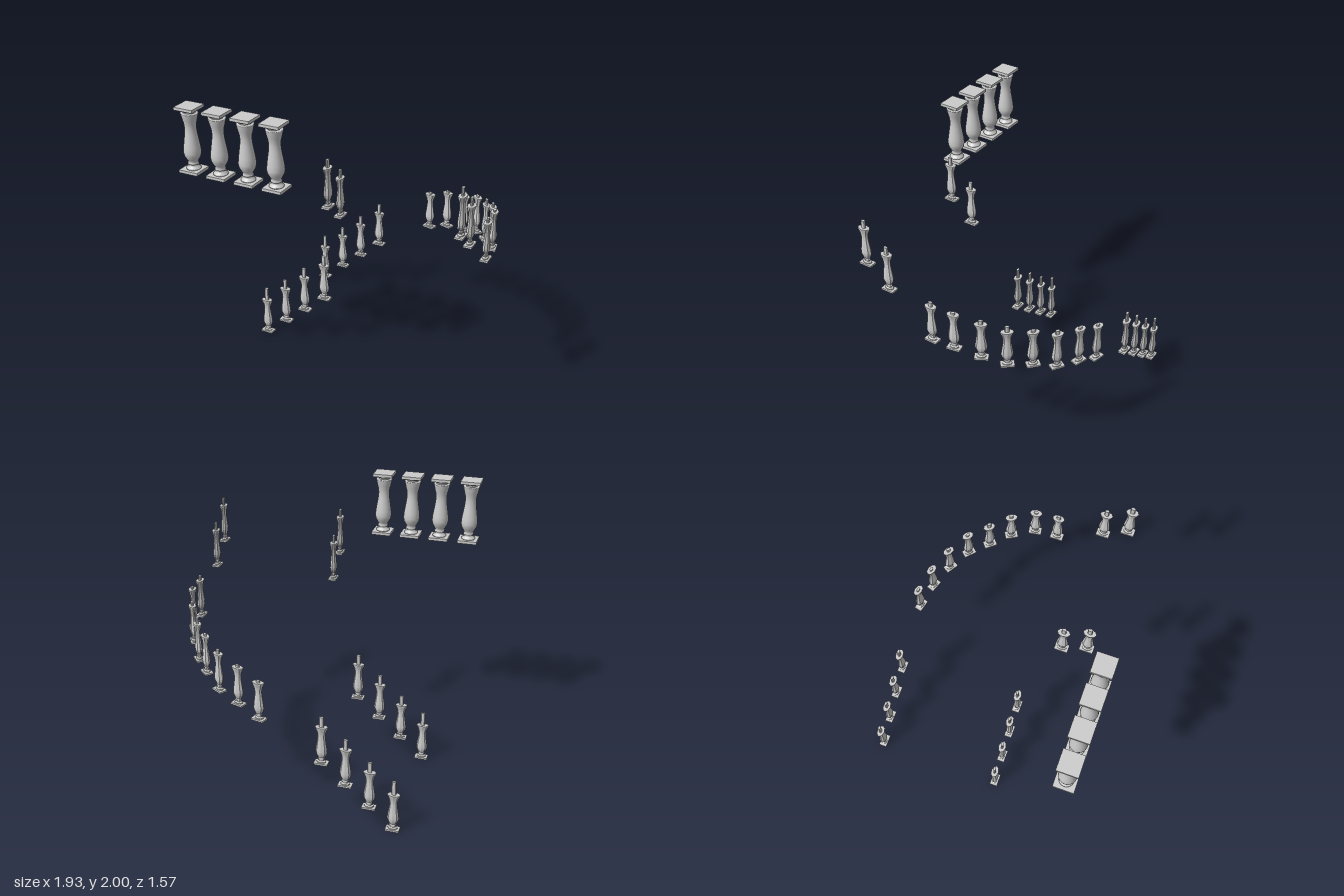
import * as THREE from 'three';

const smooth = new THREE.MeshStandardMaterial({ color: 0xcccccc });
const flat = new THREE.MeshStandardMaterial({ color: 0xcccccc, flatShading: true });

// Turned profile [radius, height] of a baluster, from foot to flared cap
const PROFILE = [
  [0, 0.012], [0.033, 0.012], [0.033, 0.02], [0.019, 0.026], [0.019, 0.034],
  [0.025, 0.037], [0.025, 0.044], [0.021, 0.049], [0.028, 0.06], [0.037, 0.077],
  [0.04, 0.094], [0.038, 0.118], [0.033, 0.15], [0.028, 0.183], [0.026, 0.208],
  [0.028, 0.23], [0.033, 0.248],
];
const SMALL_CAP = [[0.036, 0.254], [0.045, 0.274], [0.045, 0.28], [0, 0.28]];
const LARGE_CAP = [[0.034, 0.254], [0.039, 0.274], [0.039, 0.28], [0, 0.28]];

const lathe = (pts, sides) =>
  new THREE.LatheGeometry(pts.map(([r, y]) => new THREE.Vector2(r, y)), sides);

function add(group, name, geometry, material, y = 0) {
  const mesh = new THREE.Mesh(geometry, material);
  mesh.name = name;
  mesh.position.y = y;
  group.add(mesh);
}

const smallBody = lathe([...PROFILE, ...SMALL_CAP], 8).scale(1, 1, 0.62);
const smallPlate = new THREE.BoxGeometry(0.094, 0.013, 0.057);
const largeBody = lathe([...PROFILE, ...LARGE_CAP], 28).scale(1.47, 1.47, 1.47);
const largePlate = new THREE.BoxGeometry(0.14, 0.02, 0.14);

// Flattened stair baluster: base plate, faceted body and a stem reaching up to the rail
function stairBaluster(name, x, y, z, turn, stem) {
  const g = new THREE.Group();
  g.name = name;
  add(g, 'basePlate', smallPlate, flat, 0.0065);
  add(g, 'body', smallBody, flat);
  const stemShape = new THREE.CylinderGeometry(0.016, 0.016, stem, 8).scale(1, 1, 0.62);
  add(g, 'stem', stemShape, flat, 0.28 + stem / 2);
  g.position.set(x, y, z);
  g.rotation.y = -THREE.MathUtils.degToRad(turn);
  return g;
}

// Round landing baluster with square plates above and below
function landingBaluster(x) {
  const g = new THREE.Group();
  g.name = 'landingBaluster';
  add(g, 'basePlate', largePlate, flat, 0.01);
  add(g, 'body', largeBody, smooth);
  add(g, 'neck', new THREE.CylinderGeometry(0.045, 0.04, 0.016, 28), smooth, 0.418);
  add(g, 'collar', new THREE.CylinderGeometry(0.064, 0.058, 0.01, 28), smooth, 0.431);
  add(g, 'topPlate', largePlate, flat, 0.446);
  g.position.set(x, 1.544, 0.714);
  return g;
}

export function createModel() {
  const model = new THREE.Group();
  model.name = 'staircaseBalusters';

  // Landing row and the two straight lower flights
  for (let i = 0; i < 4; i++) {
    model.add(landingBaluster(-0.893 + i * 0.2107));
    for (const z of [0.17, -0.753]) {
      model.add(stairBaluster('lowerFlightBaluster', -0.731 + i * 0.165, 0.005 + i * 0.142, z, 0, i ? 0.073 : 0.1));
    }
  }

  // Upper flight, turned a quarter
  for (const x of [0.022, 0.933]) {
    model.add(stairBaluster('upperFlightBaluster', x, 1.268, 0.389, 90, 0.055));
    model.add(stairBaluster('upperFlightBaluster', x, 1.408, 0.556, 90, 0.055));
  }

  // Curved flight: x, y, z, turn in degrees, stem length
  const curve = [
    [0.195, 0.69, -0.751, 13, 0.015], [0.354, 0.755, -0.705, 18, 0.015],
    [0.519, 0.795, -0.633, 32, 0.03], [0.651, 0.86, -0.532, 42, 0.015],
    [0.761, 0.88, -0.406, 50, 0.042], [0.854, 0.945, -0.27, 61, 0.028],
    [0.921, 0.997, -0.107, 80, 0.015], [0.934, 0.997, 0.058, 90, 0.033],
  ];
  for (const c of curve) model.add(stairBaluster('curvedFlightBaluster', ...c));

  return model;
}
